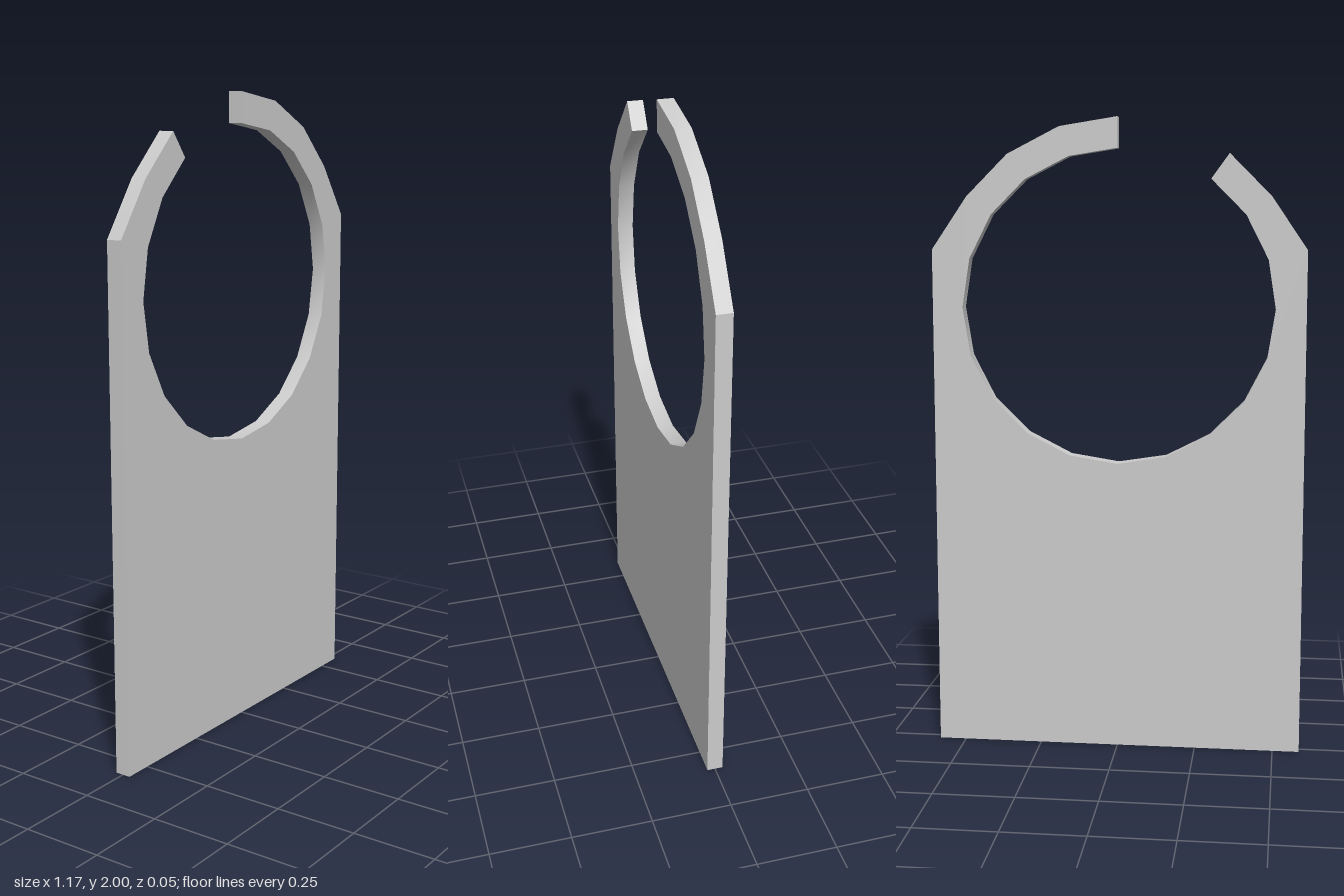
import * as THREE from 'three';
import { toCreasedNormals } from 'three/addons/utils/BufferGeometryUtils.js';

const CENTER_Y = 1.415;
const OUTER_R = 0.585;
const INNER_R = 0.49;
const SHOULDER_Y = 1.595;
const THICKNESS = 0.05;
const STEP = 18; // degrees per facet of the ring

function ringPoint(radius, degrees) {
  const a = THREE.MathUtils.degToRad(degrees);
  return new THREE.Vector2(radius * Math.cos(a), CENTER_Y + radius * Math.sin(a));
}

export function createModel() {
  const outline = [];

  // long hook arm, from its tip down to the shoulder
  for (let d = 90; d >= 36; d -= STEP) outline.push(ringPoint(OUTER_R, d));

  // straight-sided panel
  outline.push(
    new THREE.Vector2(OUTER_R, SHOULDER_Y),
    new THREE.Vector2(OUTER_R, 0),
    new THREE.Vector2(-OUTER_R, 0),
    new THREE.Vector2(-OUTER_R, SHOULDER_Y),
  );

  // short arm, up to its tip
  for (let d = 144; d >= 126; d -= STEP) outline.push(ringPoint(OUTER_R, d));

  // inner edge of the opening, back round to the long arm
  for (let d = 126; d <= 450; d += STEP) outline.push(ringPoint(INNER_R, d));

  const geometry = new THREE.ExtrudeGeometry(new THREE.Shape(outline), {
    depth: THICKNESS,
    bevelEnabled: false,
  });
  geometry.translate(0, 0, -THICKNESS / 2);

  const hanger = new THREE.Mesh(
    toCreasedNormals(geometry, 0.5),
    new THREE.MeshStandardMaterial({ color: 0xcccccc }),
  );
  hanger.name = 'doorHangerPlate';

  const group = new THREE.Group();
  group.name = 'doorHanger';
  group.add(hanger);
  return group;
}
